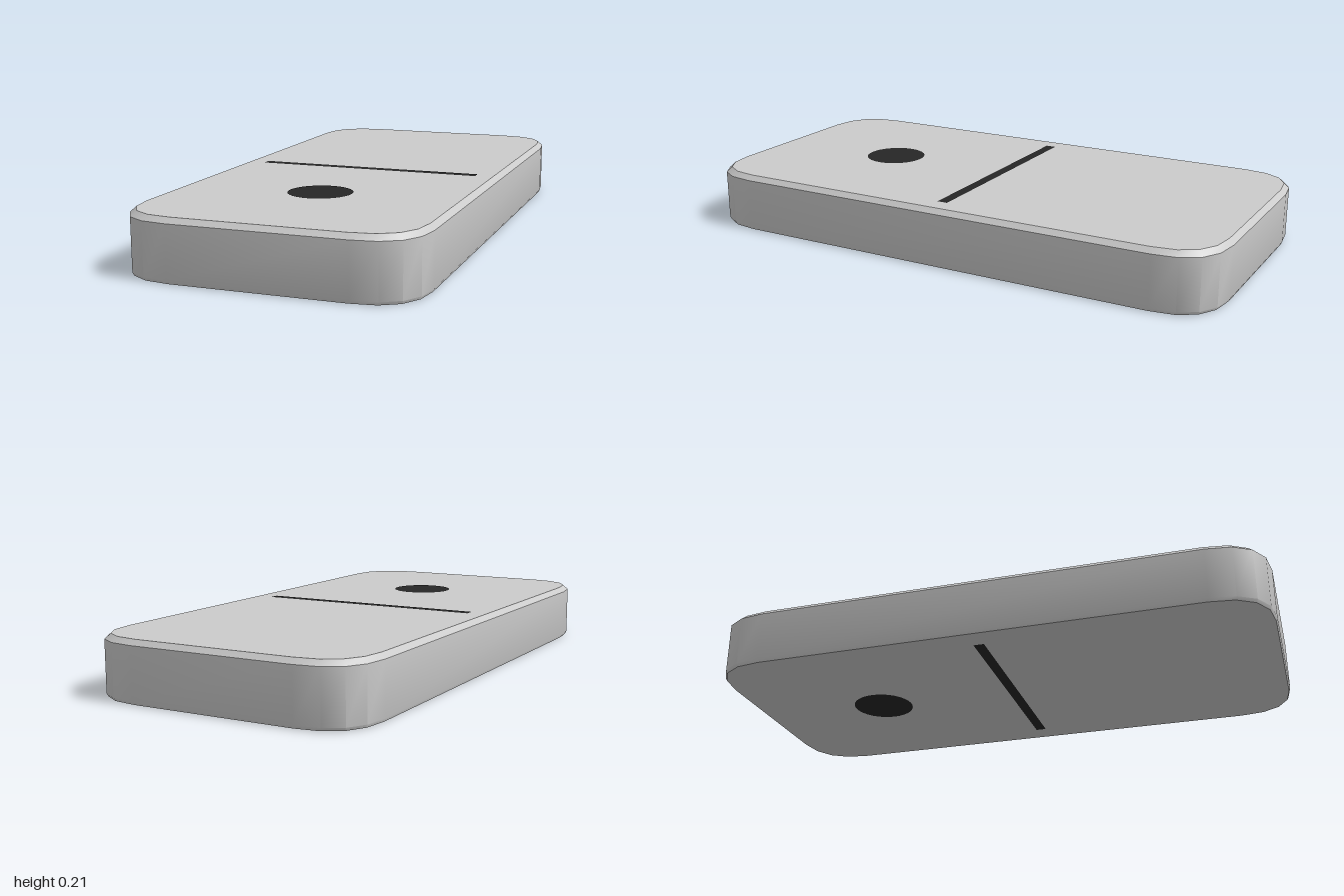
import * as THREE from 'three';
import { toCreasedNormals } from 'three/addons/utils/BufferGeometryUtils.js';

const HEIGHT = 0.212;

// Rounded rectangle, anticlockwise seen from above, as [x, z] pairs
function outline(halfX, halfZ, corner) {
  const s = new THREE.Shape();
  s.moveTo(halfX, -halfZ + corner);
  s.lineTo(halfX, halfZ - corner);
  s.quadraticCurveTo(halfX, halfZ, halfX - corner, halfZ);
  s.lineTo(-halfX + corner, halfZ);
  s.quadraticCurveTo(-halfX, halfZ, -halfX, halfZ - corner);
  s.lineTo(-halfX, -halfZ + corner);
  s.quadraticCurveTo(-halfX, -halfZ, -halfX + corner, -halfZ);
  s.lineTo(halfX - corner, -halfZ);
  s.quadraticCurveTo(halfX, -halfZ, halfX, -halfZ + corner);
  return s.getPoints(4).slice(0, -1).map((p) => [p.x, -p.y]);
}

// Stack of outlines joined into a closed slab
function slabGeometry() {
  const sections = [
    { y: 0.001, inset: 0.005 },
    { y: 0.012, inset: 0 },
    { y: HEIGHT - 0.019, inset: 0 },
    { y: HEIGHT - 0.001, inset: 0.017 },
  ];
  const positions = [];
  const index = [];
  let n = 0;
  for (const { y, inset } of sections) {
    const ring = outline(0.5 - inset, 1 - inset, 0.2 - inset * 0.5);
    n = ring.length;
    for (const [x, z] of ring) positions.push(x, y, z);
  }
  const last = sections.length - 1;
  const bottomCentre = n * sections.length;
  const topCentre = bottomCentre + 1;
  positions.push(0, sections[0].y, 0, 0, sections[last].y, 0);
  for (let i = 0; i < n; i++) {
    const j = (i + 1) % n;
    for (let k = 0; k < last; k++) {
      const a = k * n + i, b = k * n + j;
      index.push(a, b, b + n, a, b + n, a + n);
    }
    index.push(bottomCentre, j, i, topCentre, last * n + i, last * n + j);
  }
  const g = new THREE.BufferGeometry();
  g.setAttribute('position', new THREE.Float32BufferAttribute(positions, 3));
  g.setIndex(index);
  return toCreasedNormals(g, 0.6);
}

export function createModel() {
  const model = new THREE.Group();
  model.name = 'gameTile';
  const grey = new THREE.MeshStandardMaterial({ color: 0xcccccc });
  const dark = new THREE.MeshStandardMaterial({ color: 0x262626 });

  const slab = new THREE.Mesh(slabGeometry(), grey);
  slab.name = 'slab';
  model.add(slab);

  // Dividing bar and single pip, flush on each large face
  function addMarks(side, y, tilt, barLength, pipZ) {
    const bar = new THREE.Mesh(new THREE.PlaneGeometry(barLength, 0.038), dark);
    bar.name = side + 'Bar';
    bar.position.y = y;
    const pip = new THREE.Mesh(new THREE.CircleGeometry(0.112, 32), dark);
    pip.name = side + 'Pip';
    pip.position.set(0, y, pipZ);
    bar.rotation.x = pip.rotation.x = tilt;
    model.add(bar, pip);
  }
  addMarks('top', HEIGHT, -Math.PI / 2, 0.84, 0.475);
  addMarks('bottom', 0, Math.PI / 2, 0.82, -0.52);

  return model;
}
